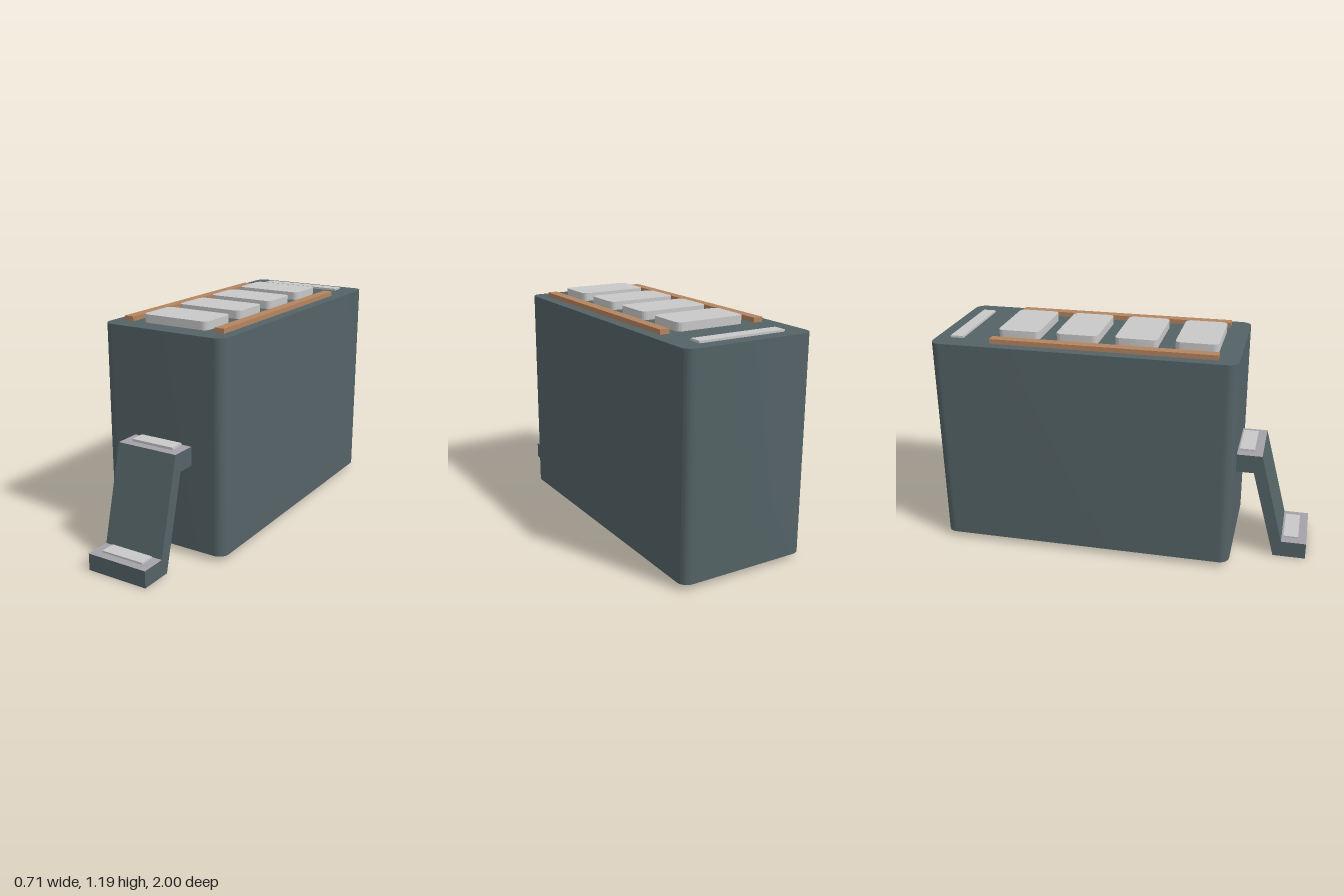
import * as THREE from 'three';
import { toCreasedNormals } from 'three/addons/utils/BufferGeometryUtils.js';

const paint = (name, color) => {
  const m = new THREE.MeshStandardMaterial({ color });
  m.name = name;
  return m;
};

// Upright block with rounded vertical corners
function roundedBlock(x0, x1, y0, y1, z0, z1, r) {
  const s = new THREE.Shape();
  const a = -z1, b = -z0;
  s.moveTo(x0 + r, a);
  s.lineTo(x1 - r, a);
  s.absarc(x1 - r, a + r, r, -Math.PI / 2, 0);
  s.absarc(x1 - r, b - r, r, 0, Math.PI / 2);
  s.absarc(x0 + r, b - r, r, Math.PI / 2, Math.PI);
  s.absarc(x0 + r, a + r, r, Math.PI, Math.PI * 1.5);
  const g = new THREE.ExtrudeGeometry(s, { depth: y1 - y0, bevelEnabled: false, curveSegments: 8 });
  g.rotateX(-Math.PI / 2).translate(0, y0, 0);
  return toCreasedNormals(g, 0.6);
}

function box(x0, x1, y0, y1, z0, z1) {
  return new THREE.BoxGeometry(x1 - x0, y1 - y0, z1 - z0)
    .translate((x0 + x1) / 2, (y0 + y1) / 2, (z0 + z1) / 2);
}

export function createModel() {
  const group = new THREE.Group();
  const slate = paint('slate', 0x546366);
  const lightGrey = paint('light grey', 0xc8c8c8);
  const copper = paint('copper', 0xb58560);
  const midGrey = paint('mid grey', 0xa4a2a8);

  const add = (name, geometry, material) => {
    const mesh = new THREE.Mesh(geometry, material);
    mesh.name = name;
    group.add(mesh);
  };

  // Main housing
  add('housing', roundedBlock(-0.355, 0.355, 0.03, 1.15, -1, 0.6, 0.055), slate);

  // Four raised pads along the top
  for (let i = 0; i < 4; i++) {
    const z = -0.568 + i * 0.3135;
    add('topPad' + (i + 1), roundedBlock(-0.19, 0.19, 1.15, 1.193, z - 0.112, z + 0.112, 0.03), lightGrey);
  }

  // Side rails on the top
  for (const s of [-1, 1]) {
    const x = s * 0.27;
    add(s > 0 ? 'leftRail' : 'rightRail', box(x - 0.026, x + 0.026, 1.15, 1.175, -0.69, 0.495), copper);
  }

  // Strip at the back of the top
  add('rearStrip', box(-0.24, 0.24, 1.15, 1.161, -0.925, -0.855), lightGrey);

  // Stepped bracket on the front, drawn as (z, y)
  const profile = [[1, 0], [1, 0.09], [0.865, 0.09], [0.735, 0.59],
    [0.6, 0.59], [0.6, 0.49], [0.695, 0.49], [0.825, 0]];
  const bracket = new THREE.ExtrudeGeometry(
    new THREE.Shape(profile.map(([z, y]) => new THREE.Vector2(z, y))),
    { depth: 0.344, bevelEnabled: false });
  bracket.translate(0, 0, -0.172).rotateY(-Math.PI / 2);
  // Level faces are mid grey, all others slate
  bracket.clearGroups();
  const normal = bracket.attributes.normal;
  for (let i = 0; i < normal.count; i += 3) {
    bracket.addGroup(i, 3, Math.abs(normal.getY(i)) > 0.9 ? 1 : 0);
  }
  add('bracket', bracket, [slate, midGrey]);

  // Contact plates on the bracket
  add('upperPlate', box(-0.122, 0.122, 0.59, 0.603, 0.61, 0.69), lightGrey);
  add('lowerPlate', box(-0.122, 0.122, 0.09, 0.1, 0.875, 0.955), lightGrey);

  return group;
}
